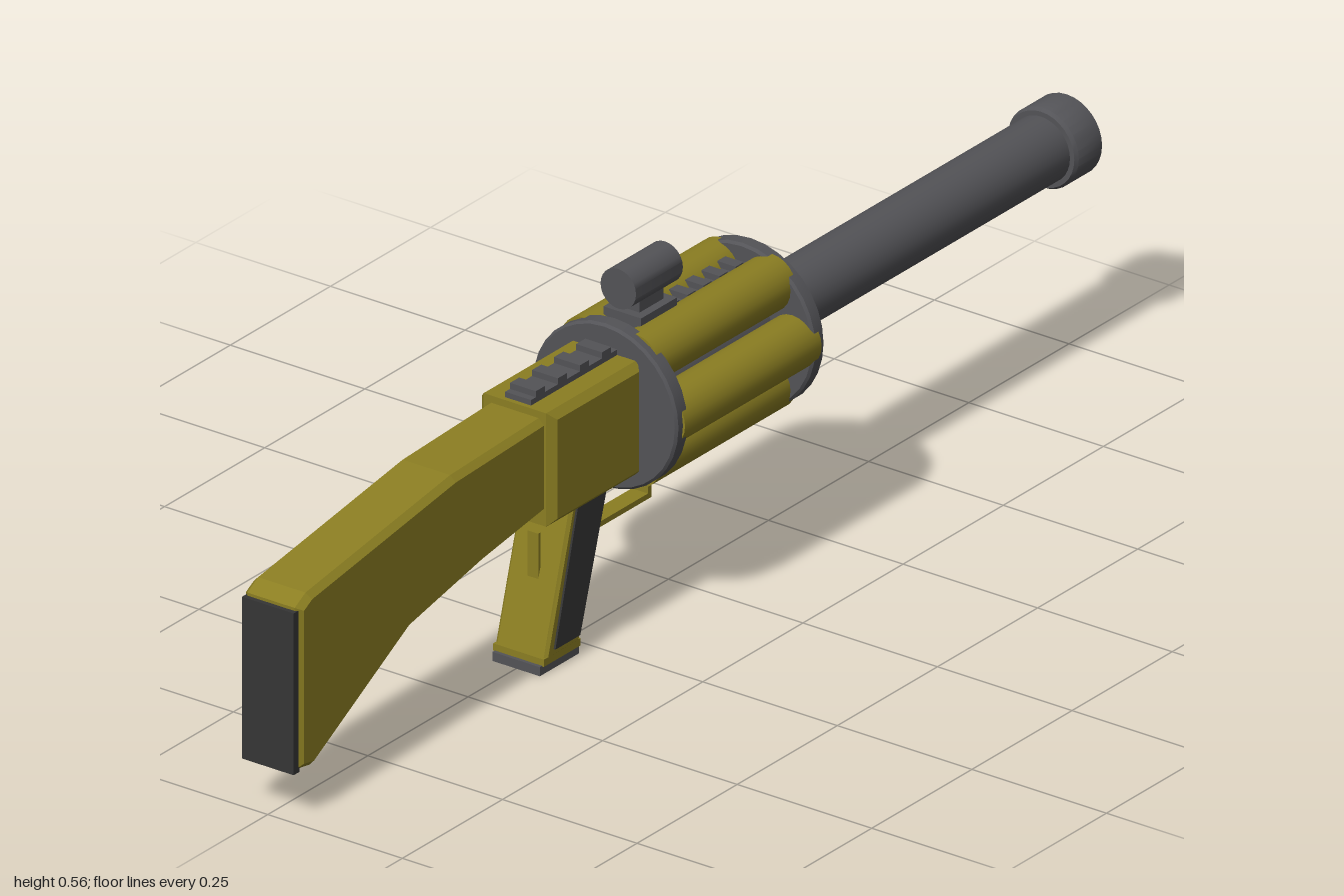
import * as THREE from 'three';
import { toCreasedNormals } from 'three/addons/utils/BufferGeometryUtils.js';

const AXIS_Y = 0.35; // height of the barrel and drum axis

export function createModel() {
  const model = new THREE.Group();
  model.name = 'drumLauncher';

  const material = (name, color) => {
    const m = new THREE.MeshStandardMaterial({ color });
    m.name = name;
    return m;
  };
  const olive = material('olive', 0x8b7e22);
  const steel = material('steelGrey', 0x535357);
  const rubber = material('darkRubber', 0x353535);

  const add = (name, geometry, mat, x = 0, y = 0, z = 0) => {
    const mesh = new THREE.Mesh(geometry, mat);
    mesh.name = name;
    mesh.position.set(x, y, z);
    model.add(mesh);
    return mesh;
  };

  // Box given by its width and its y and z ranges
  const block = (name, mat, width, y0, y1, z0, z1, x = 0) =>
    add(name, new THREE.BoxGeometry(width, y1 - y0, z1 - z0), mat, x, (y0 + y1) / 2, (z0 + z1) / 2);

  // Side outline of [z, y] points, extruded across x with bevelled edges
  const slab = (name, mat, points, width, bevel = 0, x = 0) => {
    const shape = new THREE.Shape(points.map(([z, y]) => new THREE.Vector2(z, y)));
    const depth = width - 2 * bevel;
    const g = new THREE.ExtrudeGeometry(shape, {
      depth, bevelEnabled: bevel > 0, bevelThickness: bevel, bevelSize: bevel,
      bevelOffset: -bevel, bevelSegments: 1,
    });
    g.translate(0, 0, -depth / 2);
    g.rotateY(-Math.PI / 2);
    return add(name, g, mat, x);
  };

  // Turned part along z from [radius, z] points, listed from back to front
  const turned = (name, mat, points, segments, x, y) => {
    const g = new THREE.LatheGeometry(points.map(([r, z]) => new THREE.Vector2(r, z)), segments);
    g.rotateX(Math.PI / 2);
    return add(name, toCreasedNormals(g, 0.6), mat, x, y, 0);
  };
  const rod = (name, mat, r, z0, z1, x, y, segments = 24) =>
    turned(name, mat, [[0, z0], [r, z0], [r, z1], [0, z1]], segments, x, y);

  // Barrel and muzzle ring
  rod('barrel', steel, 0.054, -0.96, -0.2, 0, AXIS_Y, 32);
  turned('muzzle', steel, [
    [0, -0.992], [0.05, -0.992], [0.052, -1], [0.06, -1], [0.066, -0.994], [0.066, -0.936], [0.062, -0.93], [0, -0.93],
  ], 32, 0, AXIS_Y);

  // Revolving drum: two end plates, a core and six tubes
  for (const [name, z0, z1] of [['drumFrontPlate', -0.21, -0.182], ['drumRearPlate', 0.13, 0.16]]) {
    turned(name, steel, [
      [0, z0], [0.131, z0], [0.135, z0 + 0.004], [0.135, z1 - 0.004], [0.131, z1], [0, z1],
    ], 32, 0, AXIS_Y);
  }
  rod('drumCore', steel, 0.06, -0.19, 0.14, 0, AXIS_Y);
  for (let i = 0; i < 6; i++) {
    const a = (i * Math.PI) / 3;
    rod('drumTube', olive, 0.044, -0.196, 0.145, 0.095 * Math.cos(a), AXIS_Y + 0.095 * Math.sin(a));
  }

  // Toothed rail along the top of the drum
  block('drumRail', steel, 0.018, 0.4, 0.456, -0.185, 0.135);
  for (let z = -0.165; z < 0.02; z += 0.04) block('drumRailTooth', steel, 0.034, 0.44, 0.466, z, z + 0.02);

  // Sight on its mount
  block('sightBase', steel, 0.07, 0.455, 0.487, 0.025, 0.115);
  block('sightMount', steel, 0.042, 0.485, 0.505, 0.04, 0.1);
  rod('sight', steel, 0.033, 0.008, 0.125, 0, 0.53);

  // Receiver with its top rail
  slab('receiver', olive, [[0.155, 0.253], [0.383, 0.253], [0.383, 0.441], [0.155, 0.441]], 0.14, 0.012);
  block('receiverRail', steel, 0.048, 0.438, 0.45, 0.15, 0.375);
  for (let i = 0; i < 4; i++) block('receiverRailTooth', steel, 0.048, 0.448, 0.46, 0.175 + i * 0.055, 0.198 + i * 0.055);

  // Shoulder stock and butt pad
  slab('stock', olive, [
    [0.36, 0.275], [0.535, 0.249], [0.716, 0.211], [0.955, 0.078], [0.992, 0.084],
    [0.992, 0.352], [0.965, 0.367], [0.604, 0.421], [0.36, 0.43],
  ], 0.108, 0.01);
  block('buttPad', rubber, 0.096, 0.079, 0.347, 0.985, 1);

  // Raked pistol grip with side panels and foot
  slab('grip', olive, [[0.285, 0.022], [0.37, 0.022], [0.302, 0.262], [0.215, 0.262]], 0.096, 0.005);
  for (const side of [-1, 1]) {
    slab('gripPanel', rubber, [[0.289, 0.035], [0.351, 0.035], [0.295, 0.248], [0.224, 0.248]], 0.006, 0, side * 0.0485);
  }
  block('gripCollar', olive, 0.094, 0.014, 0.026, 0.282, 0.374);
  block('gripFoot', steel, 0.088, 0, 0.015, 0.282, 0.38);
  block('gripRearRib', olive, 0.02, 0.1, 0.21, 0.332, 0.338);
  block('gripFrontRib', olive, 0.02, 0.068, 0.165, 0.262, 0.268);

  // Trigger and guard
  block('guardBar', olive, 0.03, 0.165, 0.174, 0.062, 0.22);
  block('guardPost', olive, 0.03, 0.17, 0.235, 0.062, 0.071);
  slab('trigger', steel, [[0.106, 0.196], [0.113, 0.196], [0.128, 0.262], [0.108, 0.262]], 0.016);

  return model;
}
